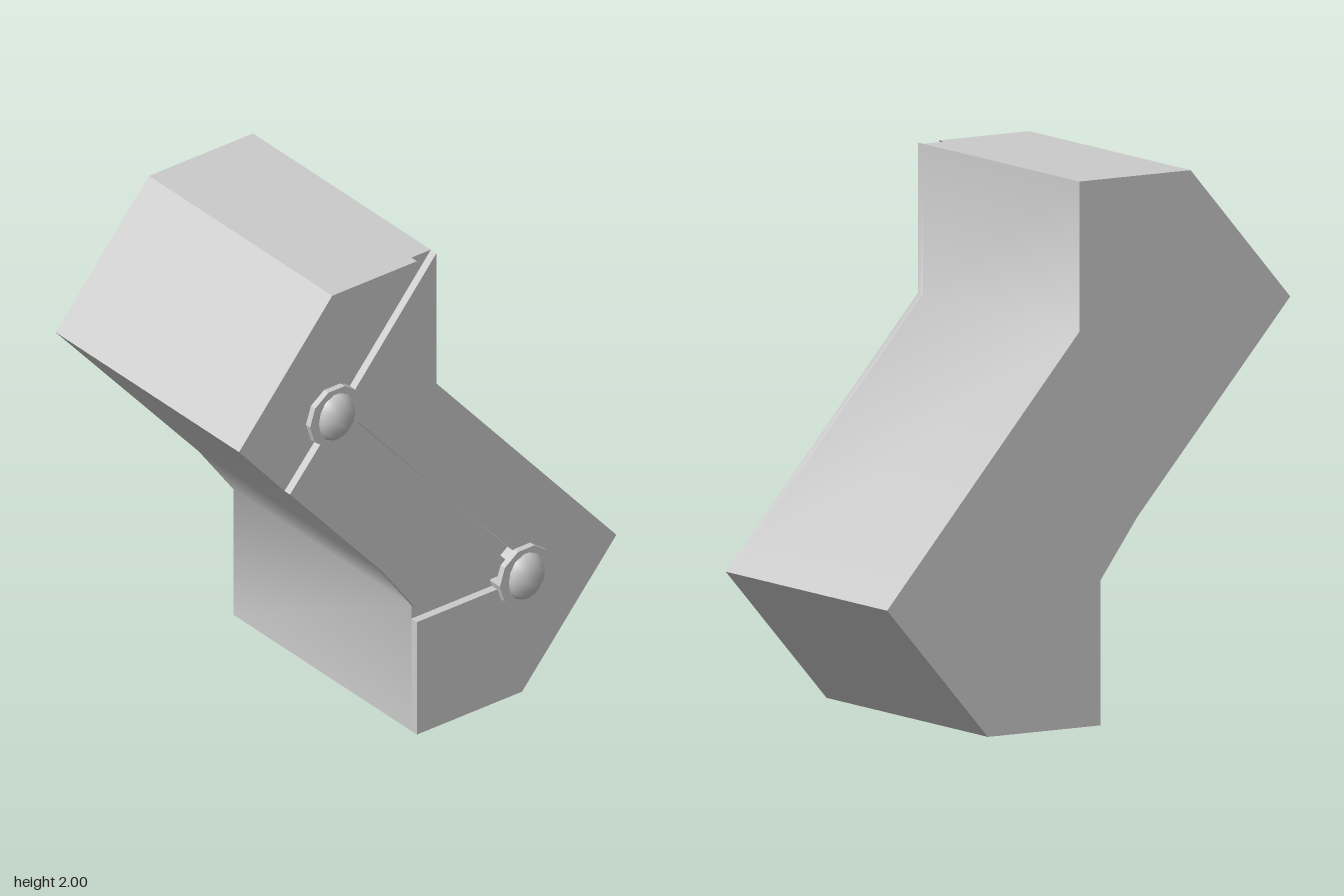
import * as THREE from 'three';
import { toCreasedNormals } from 'three/addons/utils/BufferGeometryUtils.js';

const BACK = -0.57, GROOVE = 0.468, FRONT = 0.5;
const material = new THREE.MeshStandardMaterial({ color: 0xcccccc });

// Prism from an outline in x/y, running from z0 to z1; shallow bends stay smooth
function prism(name, points, z0, z1) {
  const shape = new THREE.Shape(points.map(([x, y]) => new THREE.Vector2(x, y)));
  const geometry = new THREE.ExtrudeGeometry(shape, { depth: z1 - z0, bevelEnabled: false });
  geometry.translate(0, 0, z0);
  const mesh = new THREE.Mesh(toCreasedNormals(geometry, Math.PI / 4), material);
  mesh.name = name;
  return mesh;
}

// Ten-sided washer with a rounded head
function createBolt(name, x, y) {
  const bolt = new THREE.Group();
  bolt.name = name;

  const flangeGeometry = new THREE.CylinderGeometry(0.122, 0.122, 0.057, 10);
  flangeGeometry.rotateY(Math.PI / 2).rotateX(Math.PI / 2);
  const flange = new THREE.Mesh(toCreasedNormals(flangeGeometry, 0.5), material);
  flange.name = 'flange';
  flange.position.z = 0.4965;

  const head = new THREE.Mesh(new THREE.SphereGeometry(1, 10, 8), material);
  head.name = 'head';
  head.scale.set(0.092, 0.104, 0.068);
  head.position.z = FRONT;

  bolt.add(flange, head);
  bolt.position.set(x, y, 0);
  return bolt;
}

export function createModel() {
  const model = new THREE.Group();
  model.name = 'bentBlock';

  // Solid block behind the groove floor
  const outline = [
    [-0.87, 1.5], [-0.21, 0.75], [-0.05, 0.53], [-0.05, 0], [0.435, 0],
    [0.87, 0.5], [0.04, 1.45], [0.04, 2], [-0.44, 2],
  ];
  model.add(prism('body', outline, BACK, GROOVE));

  // Raised front faces, separated by the grooves
  const upperFace = [
    [-0.87, 1.5], [-0.68, 1.28], [-0.515, 1.465], [-0.44, 1.55], [-0.05, 2], [-0.44, 2],
  ];
  const innerFace = [
    [-0.635, 1.233], [-0.21, 0.75], [-0.05, 0.53], [0.41, 0.53], [-0.435, 1.46],
  ];
  const outerFace = [
    [0.04, 2], [-0.39, 1.5], [0.435, 0.565], [0.435, 0.475], [-0.05, 0.475],
    [-0.05, 0], [0.435, 0], [0.87, 0.5], [0.04, 1.45],
  ];
  model.add(
    prism('upperFace', upperFace, GROOVE, FRONT),
    prism('innerFace', innerFace, GROOVE, FRONT),
    prism('outerFace', outerFace, GROOVE, FRONT),
  );

  // Bolts where the grooves meet
  model.add(createBolt('upperBolt', -0.44, 1.5), createBolt('lowerBolt', 0.435, 0.5));
  return model;
}
